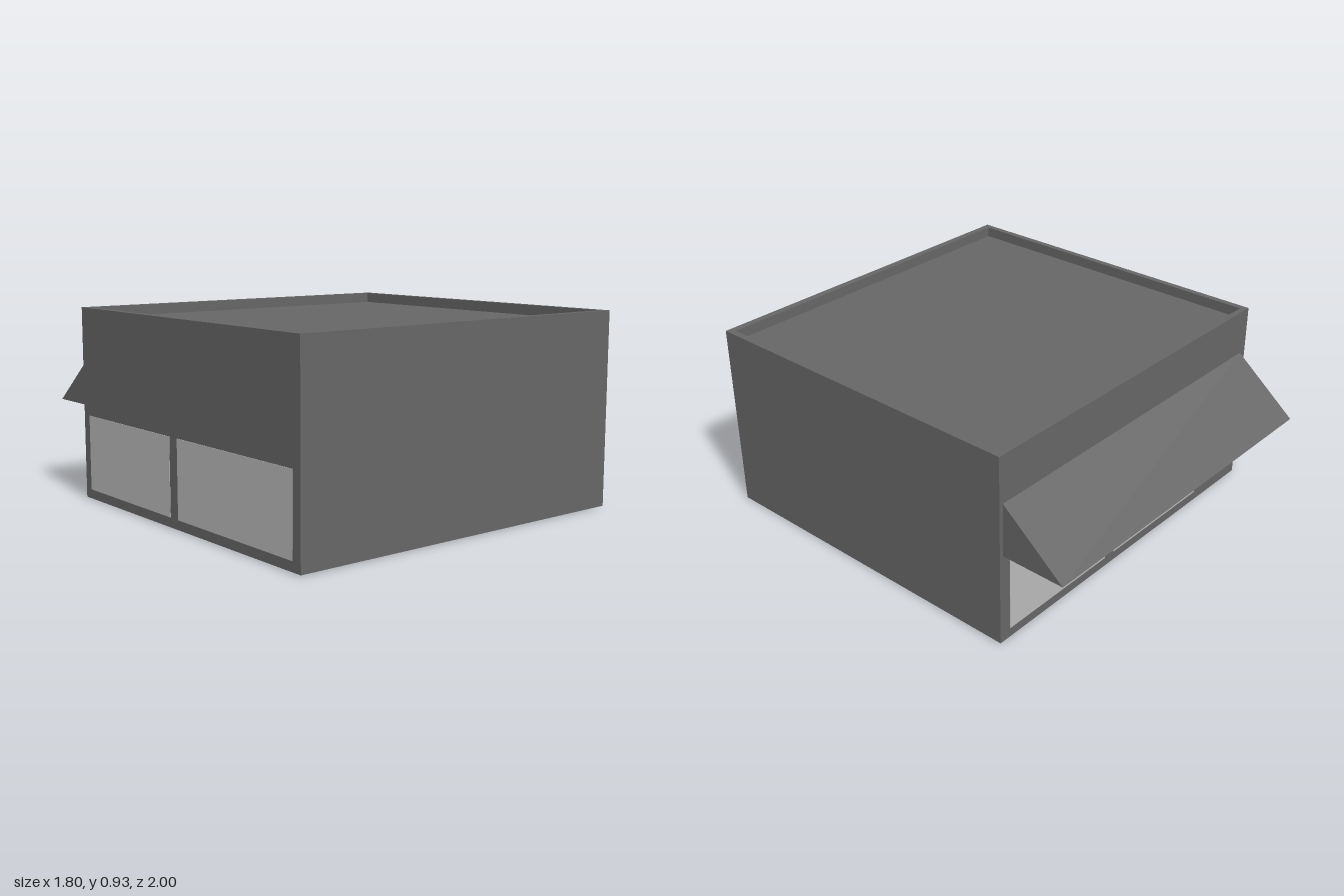
import * as THREE from 'three';

const WALL = 0x666666, PANE = 0xbbbbbb;

export function createModel() {
  const group = new THREE.Group();
  const wallMat = new THREE.MeshStandardMaterial({ color: WALL });
  const paneMat = new THREE.MeshStandardMaterial({ color: PANE });

  const add = (name, geometry, material) => {
    const mesh = new THREE.Mesh(geometry, material);
    mesh.name = name;
    group.add(mesh);
    return mesh;
  };

  // Box given by its limits on each axis
  const box = (name, x0, x1, y0, y1, z0, z1, material) =>
    add(name, new THREE.BoxGeometry(x1 - x0, y1 - y0, z1 - z0), material)
      .position.set((x0 + x1) / 2, (y0 + y1) / 2, (z0 + z1) / 2);

  // Rectangle outline in plan; shape y becomes -z once laid flat
  const plan = (Type, x0, x1, z0, z1) => new Type([
    new THREE.Vector2(x0, -z1), new THREE.Vector2(x1, -z1),
    new THREE.Vector2(x1, -z0), new THREE.Vector2(x0, -z0),
  ]);

  // Outer walls, rising above the roof as a parapet
  const ring = plan(THREE.Shape, -0.9, 0.9, -0.69, 1);
  ring.holes.push(plan(THREE.Path, -0.87, 0.87, -0.66, 0.965));
  const walls = new THREE.ExtrudeGeometry(ring, { depth: 0.92, bevelEnabled: false });
  walls.rotateX(-Math.PI / 2).translate(0, 0.005, 0);
  add('walls', walls, wallMat);

  // Sunken roof, and a floor with a pale border
  box('roof', -0.87, 0.87, 0.845, 0.875, -0.66, 0.965, wallMat);
  box('floorBase', -0.87, 0.87, 0.01, 0.03, -0.66, 0.965, wallMat);
  box('floorBorder', -0.86, 0.84, 0.002, 0.02, -0.65, 0.955, paneMat);
  box('floor', -0.84, 0.82, 0, 0.015, -0.63, 0.935, wallMat);

  // Paired windows on the back and on the right side
  for (const [x0, x1] of [[0.13, 0.84], [-0.54, 0.07]].map((r, i) => i ? [-0.54, 0.12] : [0.185, 0.84])) {
    box('backWindow', x0, x1, 0.05, 0.41, -0.692, -0.68, paneMat);
  }
  for (const [z0, z1] of [[-0.64, 0.075], [0.137, 0.95]]) {
    box('sideWindow', -0.902, -0.89, 0.05, 0.41, z0, z1, paneMat);
  }

  // Wedge-shaped awning over the back windows
  const wedge = new THREE.Shape([
    new THREE.Vector2(0.69, 0.445), new THREE.Vector2(1, 0.445), new THREE.Vector2(0.69, 0.70),
  ]);
  const awning = new THREE.ExtrudeGeometry(wedge, { depth: 1.74, bevelEnabled: false });
  awning.rotateY(Math.PI / 2).translate(-0.86, 0, 0);
  add('awning', awning, wallMat);

  return group;
}
